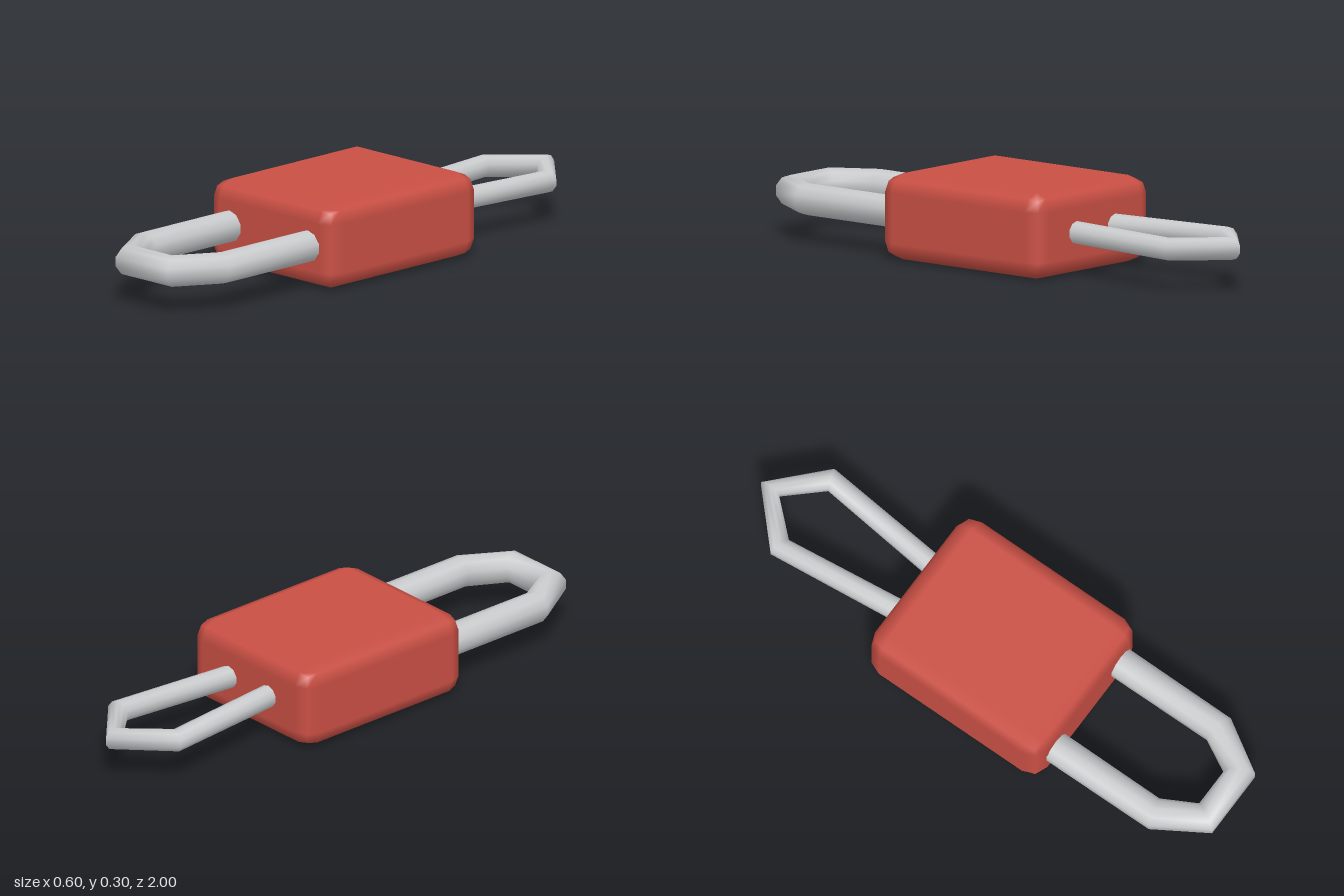
import * as THREE from 'three';
import { RoundedBoxGeometry } from 'three/addons/geometries/RoundedBoxGeometry.js';

const CENTER_Y = 0.153;
const SIDES = 10;

// Smooth ten-sided tube along a flat [x, z] path, one ring at each bend
function bentRod(path, radius) {
  const points = path.map(([x, z]) => new THREE.Vector2(x, z));
  const dirs = points.slice(1).map((p, i) => p.clone().sub(points[i]).normalize());
  const positions = [];
  const index = [];
  points.forEach((p, i) => {
    const before = dirs[Math.max(i - 1, 0)];
    const after = dirs[Math.min(i, dirs.length - 1)];
    const t = before.clone().add(after).normalize();
    for (let j = 0; j < SIDES; j++) {
      const a = (j / SIDES) * Math.PI * 2;
      const side = Math.sin(a) * radius;
      positions.push(p.x - t.y * side, CENTER_Y + Math.cos(a) * radius, p.y + t.x * side);
      if (i < points.length - 1) {
        const k = i * SIDES + j;
        const n = i * SIDES + ((j + 1) % SIDES);
        index.push(k, n, k + SIDES, n, n + SIDES, k + SIDES);
      }
    }
  });
  const geometry = new THREE.BufferGeometry();
  geometry.setAttribute('position', new THREE.Float32BufferAttribute(positions, 3));
  geometry.setIndex(index);
  geometry.computeVertexNormals();
  return geometry;
}

// Mirror a half path across x = 0; a point on the axis is kept once
function mirrored(half) {
  const other = half.filter(([x]) => x !== 0).reverse().map(([x, z]) => [-x, z]);
  return [...half, ...other];
}

export function createModel() {
  const red = new THREE.MeshStandardMaterial({ color: 0xc94f44 });
  red.name = 'red casing';
  const steel = new THREE.MeshStandardMaterial({ color: 0xc8cacc, side: THREE.DoubleSide });
  steel.name = 'light steel';

  const model = new THREE.Group();
  model.name = 'linkedCasing';
  const add = (name, geometry, material) => {
    const mesh = new THREE.Mesh(geometry, material);
    mesh.name = name;
    model.add(mesh);
    return mesh;
  };

  // Block with softly bevelled edges
  const casing = add('casing', new RoundedBoxGeometry(0.604, 0.3, 0.73, 1, 0.063), red);
  casing.position.set(0, CENTER_Y, 0.02);

  // Wide U-shaped loop at the front, ends buried in the casing
  add('frontLoop', bentRod(mirrored([[0.19, 0.3], [0.19, 0.8], [0.1, 0.953]]), 0.056), steel);

  // Thinner pointed loop at the back
  add('backLoop', bentRod(mirrored([[0.094, -0.28], [0.151, -0.81], [0, -0.961]]), 0.04), steel);

  return model;
}
